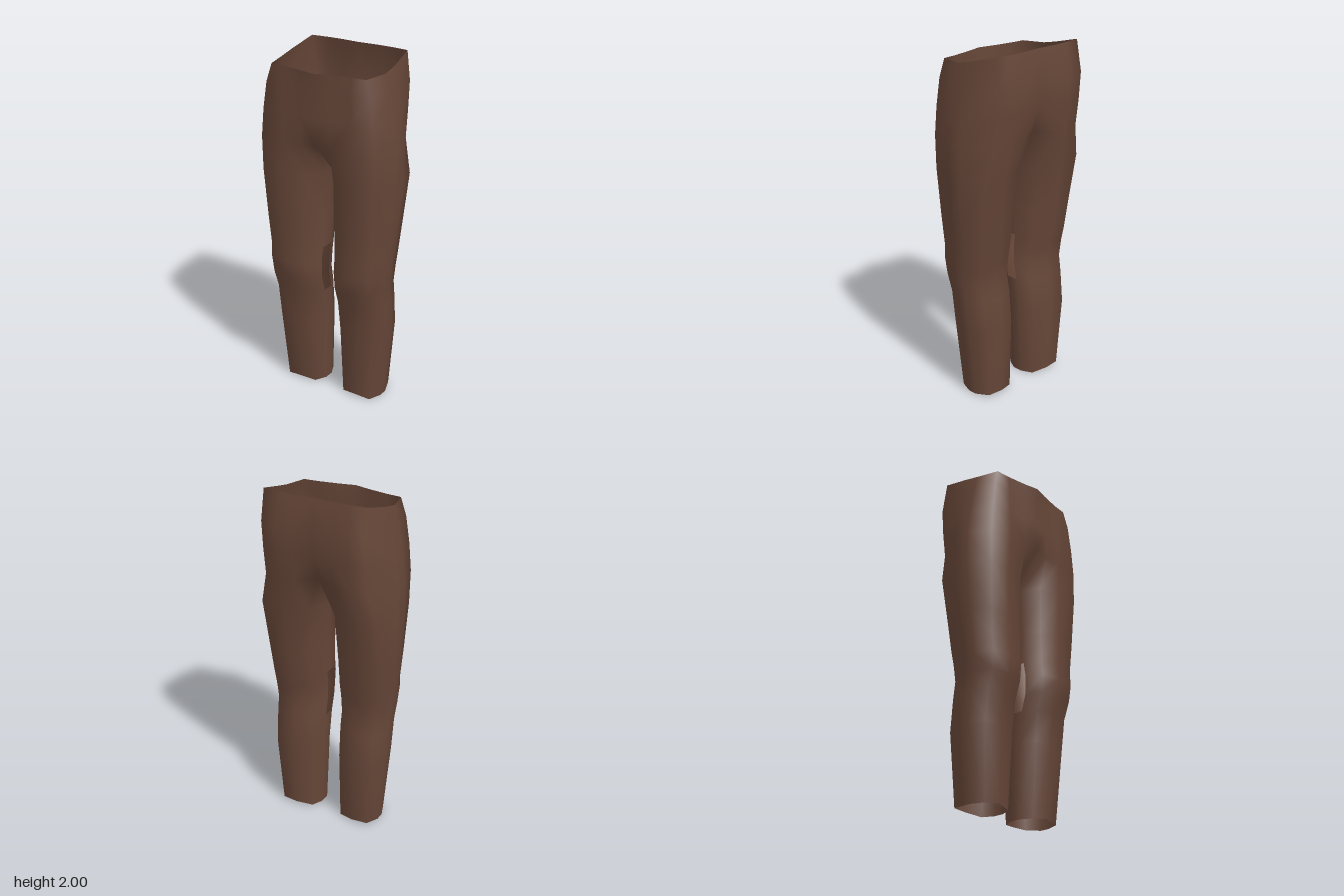
import * as THREE from 'three';
import { mergeVertices } from 'three/addons/utils/BufferGeometryUtils.js';

// leg cross-section, u: -1 inner .. 1 outer, v: -1 back .. 1 front
const legRing = [
  [1, 0.25], [0.76, 0.9], [0, 1], [-0.72, 0.85], [-1, 0.3], [-1, 0.05],
  [-1, -0.2], [-0.75, -0.75], [0, -1], [0.76, -0.92], [1, -0.2],
];

// leg rows: height, inner x, outer x, back z, front z
const legRows = [
  [0, 0.065, 0.31, -0.12, 0.115],
  [0.42, 0.055, 0.345, -0.135, 0.145],
  [0.6, 0.05, 0.35, -0.115, 0.165],
  [0.7, 0.05, 0.352, -0.1, 0.2],
  [0.8, 0.047, 0.36, -0.11, 0.21],
  [0.88, 0.045, 0.365, -0.125, 0.2],
  [1.05, 0.042, 0.38, -0.145, 0.203],
  [1.33, 0.035, 0.4, -0.185, 0.21],
];

// hip rows: side height, front height, back height, outer x, front corner x,
// front side z, front middle z, back z, back middle z
const hipRows = [
  [1.52, 1.52, 1.52, 0.4, 0.36, 0.21, 0.235, -0.215, -0.17],
  [1.68, 1.68, 1.68, 0.378, 0.347, 0.207, 0.235, -0.235, -0.215],
  [1.83, 1.83, 1.83, 0.35, 0.325, 0.203, 0.236, -0.246, -0.235],
  [1.935, 1.93, 2, 0.325, 0.295, 0.195, 0.244, -0.212, -0.205],
];

const legPoints = ([y, xi, xo, zb, zf]) => legRing.map(([u, v]) => {
  // upper thigh gets a squarer front corner
  const sq = u > 0.5 && v > 0.5 ? 0.1 * THREE.MathUtils.smoothstep(y, 0.6, 1.33) : 0;
  const hemLift = y === 0 && Math.abs(v) > 0.9 ? 0.012 : 0;
  return [
    (xi + xo) / 2 + u * (xo - xi) / 2,
    y + hemLift,
    (zb + zf) / 2 + (v + sq) * (zf - zb) / 2,
  ];
});

const hipPoints = ([ys, yf, yb, xo, xc, zs, zf, zb, zm], i) => {
  const front = [0, yf + (i ? 0 : 0.02), zf];
  // the lowest hip row carries the crotch seam between the legs
  const crotch = i ? front : [0, 1.49, 0.04];
  return [
    [xo, ys, 0.06], [xc, yf, zs], [0.21, yf, zs + 0.007], [0.09, yf, (zs + zf) / 2 + 0.003],
    front, crotch, [0, yb + (i ? 0 : 0.02), zm],
    [0.12, yb, zb], [0.21, yb, zb + 0.002], [0.305, yb, zb + 0.012],
    [xo, ys + (yb - ys) * 0.3, -0.03],
  ];
};

function trouserGeometry() {
  const rows = [...legRows.map(legPoints), ...hipRows.map(hipPoints)];
  const n = legRing.length;
  const crotchRow = legRows.length;
  const positions = [];
  const index = [];
  for (const side of [1, -1]) {
    const base = positions.length / 3;
    rows.flat().forEach(([x, y, z]) => positions.push(side * x, y, z));
    for (let r = 0; r < rows.length - 1; r++) {
      for (let i = 0; i < n; i++) {
        const inseam = i === 4 || i === 5;
        const kneeGap = r >= 2 && r < 5; // opening at the inner knee
        if (inseam && (kneeGap || r >= crotchRow)) continue;
        const a = base + r * n + i;
        const b = base + r * n + (i + 1) % n;
        const quad = [a, a + n, b, b, a + n, b + n];
        index.push(...(side > 0 ? quad : quad.reverse()));
      }
    }
  }
  const geometry = new THREE.BufferGeometry();
  geometry.setAttribute('position', new THREE.Float32BufferAttribute(positions, 3));
  geometry.setIndex(index);
  // weld the two halves along the centre line
  const welded = mergeVertices(geometry, 1e-4);
  welded.computeVertexNormals();
  return welded;
}

export function createModel() {
  const group = new THREE.Group();
  group.name = 'trousers';
  const cloth = new THREE.MeshStandardMaterial({ color: 0x664638, side: THREE.DoubleSide });
  const trousers = new THREE.Mesh(trouserGeometry(), cloth);
  trousers.name = 'trouserCloth';
  group.add(trousers);
  return group;
}
